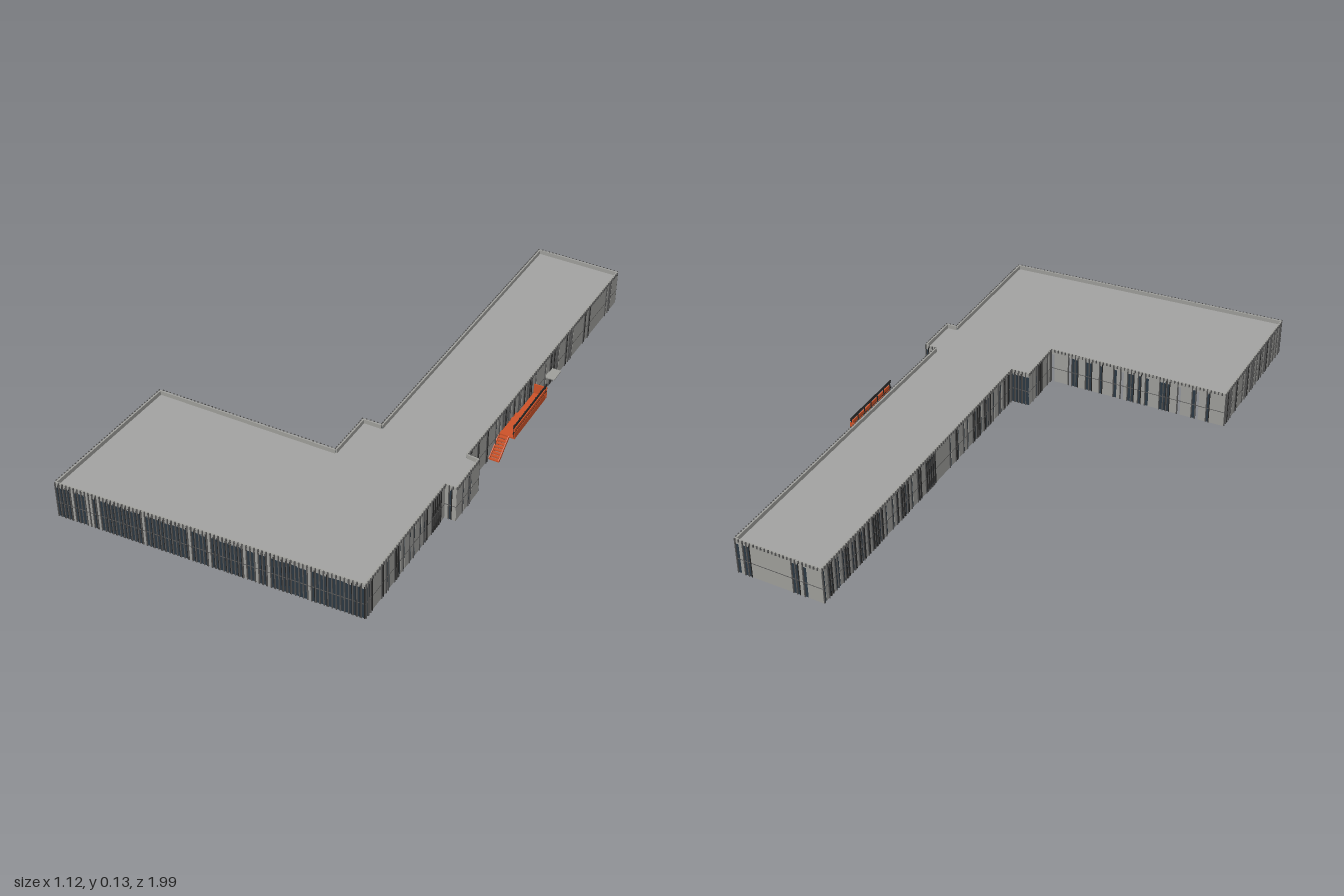
import * as THREE from 'three';
import { mergeGeometries } from 'three/addons/utils/BufferGeometryUtils.js';

const material = (name, color) => {
  const m = new THREE.MeshStandardMaterial({ color });
  m.name = name;
  return m;
};

// Box given by its minimum and maximum corners
const box = (x0, x1, y0, y1, z0, z1) =>
  new THREE.BoxGeometry(x1 - x0, y1 - y0, z1 - z0)
    .translate((x0 + x1) / 2, (y0 + y1) / 2, (z0 + z1) / 2);

function seeded(seed) {
  let s = seed * 7919 + 13;
  return () => (s = (s * 16807) % 2147483647) / 2147483647;
}

// Footprint corners (x, z), then share of solid and of open bays on the wall that starts there
const FOOTPRINT = [
  [0.200, -0.993, 0.65, 0],
  [0.517, -0.983, 0.66, 0],
  [0.500, 0.255, 0.70, 0],
  [0.543, 0.260, 0.60, 0],
  [0.543, 0.423, 0.70, 0],
  [0.504, 0.423, 0.62, 0],
  [0.504, 0.938, 0.16, 0.02],
  [-0.557, 0.988, 0.45, 0.25],
  [-0.545, 0.431, 0.60, 0.06],
  [0.122, 0.431, 0.30, 0],
  [0.122, 0.248, 0.50, 0],
  [0.190, 0.248, 0.40, 0],
];
const BAY = 0.0135, WALL_TOP = 0.124, TOP = 0.134, ROOF = 0.117;

export function createModel() {
  const model = new THREE.Group();
  const grey = material('wall grey', 0x9e9e9a);
  const roofGrey = material('roof grey', 0xa2a2a0);
  const finGrey = material('fin dark grey', 0x555555);
  const glass = material('dark blue glass', 0x2b3843);
  const orange = material('orange metal', 0xcc5228);
  const black = material('black trim', 0x242424);

  const add = (parent, name, geometries, mat) => {
    if (!geometries.length) return;
    const mesh = new THREE.Mesh(mergeGeometries(geometries), mat);
    mesh.name = name;
    parent.add(mesh);
  };

  // Flat roof, sunk behind the parapet
  const shape = new THREE.Shape(FOOTPRINT.map(([x, z]) => new THREE.Vector2(x, z)));
  const roof = new THREE.ExtrudeGeometry(shape, { depth: 0.004, bevelEnabled: false });
  add(model, 'roof', [roof.rotateX(Math.PI / 2).translate(0, ROOF, 0)], roofGrey);

  // Facades: local x runs along the wall and local -z points outwards
  FOOTPRINT.forEach(([x, z, solidShare, openShare], i) => {
    const [nx, nz] = FOOTPRINT[(i + 1) % FOOTPRINT.length];
    const length = Math.hypot(nx - x, nz - z);
    const count = Math.max(2, Math.round(length / BAY));
    const step = length / count;
    const random = seeded(i + 1);
    const panels = [], panes = [], fins = [], dentils = [], trims = [];

    for (let k = 0; k < count; k++) {
      const x0 = k * step, x1 = x0 + step;
      const r = random();
      if (r < solidShare) {
        panels.push(box(x0, x1, 0, WALL_TOP, -0.001, 0.001));
        panes.push(box(x0, x1, 0, WALL_TOP, 0.0015, 0.003));
      } else if (r < 1 - openShare) {
        panes.push(box(x0, x1, 0, WALL_TOP, 0, 0.003));
        if (random() < 0.5) trims.push(box(x0, x0 + 0.003, 0, WALL_TOP, -0.003, 0));
      }
      // Projecting fins stand on the glazed bays
      if (r >= solidShare || solidShare < 0.2) {
        fins.push(box(x1 - 0.0035, x1, 0, WALL_TOP, -0.004, 0.001));
      }
      dentils.push(box(x1 - 0.004, x1, WALL_TOP, TOP, -0.004, 0));
    }

    const wall = new THREE.Group();
    wall.name = 'facade' + (i + 1);
    wall.position.set(x, 0, z);
    wall.rotation.y = -Math.atan2(nz - z, nx - x);
    add(wall, 'solidPanels', panels, grey);
    add(wall, 'glassPanes', panes, glass);
    add(wall, 'fins', fins, finGrey);
    add(wall, 'darkMullions', trims, black);
    add(wall, 'parapetTeeth', dentils, finGrey);
    add(wall, 'parapet', [box(0, length, ROOF, TOP - 0.002, -0.001, 0.005)], grey);
    add(wall, 'midRail', [box(0, length, 0.055, 0.057, -0.002, 0.001)], finGrey);
    model.add(wall);
  });

  // Raised entrance platform with railing bands
  const platform = new THREE.Group();
  platform.name = 'entrancePlatform';
  add(platform, 'deck', [
    box(0.502, 0.558, 0.052, 0.058, -0.11, 0.02),
    box(0.512, 0.558, 0.052, 0.058, -0.243, -0.11),
  ], orange);
  add(platform, 'sidePanels', [
    box(0.555, 0.559, 0.052, 0.076, -0.23, 0.02),
    box(0.555, 0.559, 0.081, 0.094, -0.23, 0.02),
    box(0.512, 0.559, 0.052, 0.094, -0.243, -0.239),
  ], orange);
  const rails = [0.078, 0.1, 0.106].map(y => box(0.5555, 0.5585, y, y + 0.003, -0.243, 0.03));
  for (let k = 0; k <= 6; k++) {
    const pz = 0.018 - k * 0.043;
    rails.push(box(0.553, 0.556, 0.052, 0.108, pz - 0.0015, pz + 0.0015));
  }
  add(platform, 'handrails', rails, black);
  model.add(platform);

  // Stair down towards the front
  const stair = new THREE.Group();
  stair.name = 'stair';
  const steps = [];
  for (let k = 0; k < 8; k++) {
    const y = 0.052 - k * 0.0068, sz = 0.02 + k * 0.0092;
    steps.push(box(0.505, 0.54, y - 0.005, y, sz, sz + 0.0095));
  }
  add(stair, 'treads', steps, orange);
  const run = 0.073, rise = 0.053;
  const stringers = [0.505, 0.539].map(sx =>
    new THREE.BoxGeometry(0.003, 0.009, Math.hypot(run, rise))
      .rotateX(Math.atan2(rise, run)).translate(sx, 0.03, 0.057));
  add(stair, 'stringers', stringers, orange);
  model.add(stair);

  // Small door canopy
  add(model, 'doorCanopy', [box(0.505, 0.545, 0.056, 0.06, -0.4, -0.34)], grey);

  return model;
}
